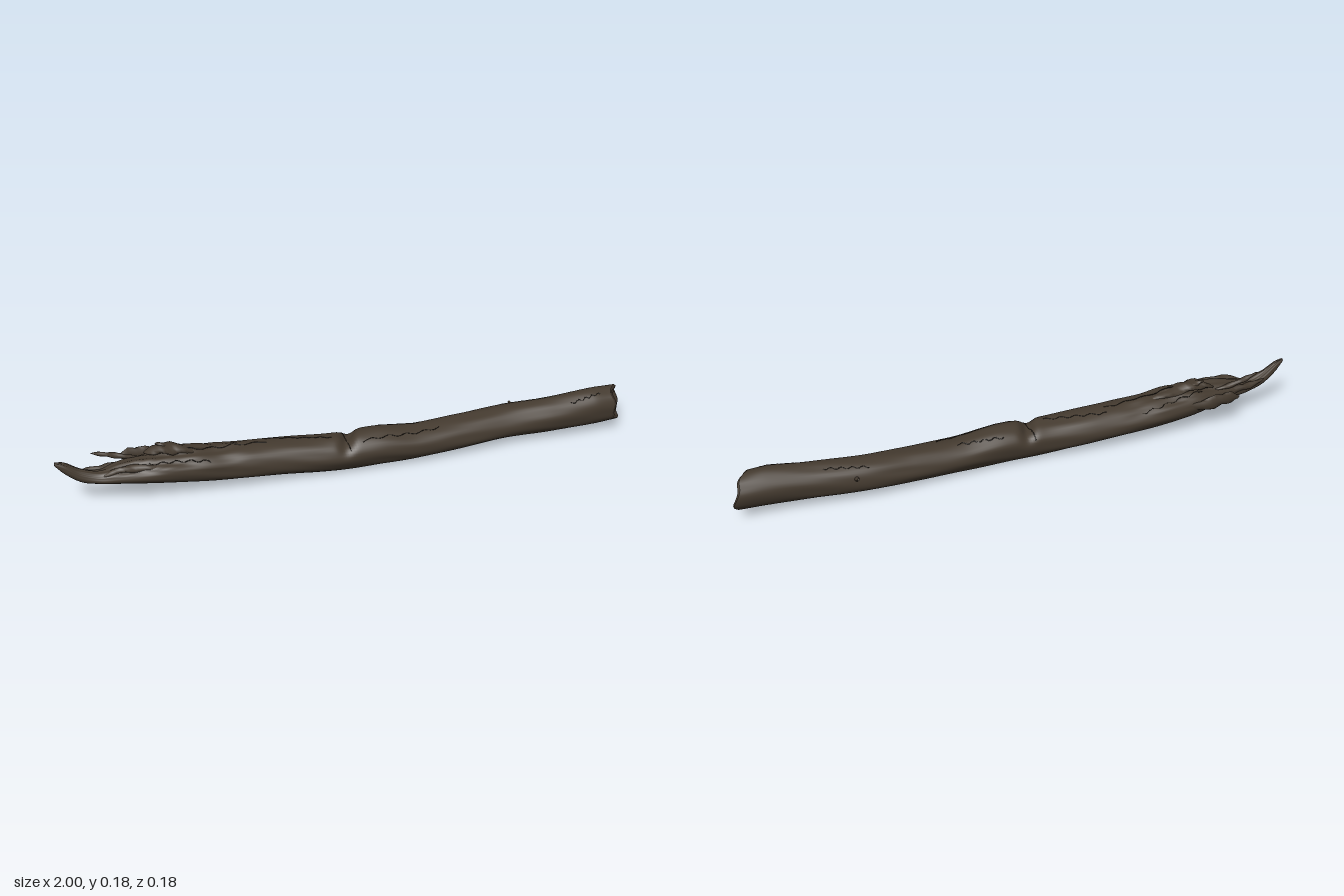
import * as THREE from 'three';

// stations along the log: x, bottom, top, back, front
const STATIONS = [
  [-1.0, 0.178, 0.19, -0.006, 0.006],
  [-0.97, 0.142, 0.182, -0.014, 0.013],
  [-0.92, 0.104, 0.15, -0.02, 0.021],
  [-0.86, 0.09, 0.132, -0.03, 0.03],
  [-0.8, 0.084, 0.145, -0.045, 0.046],
  [-0.7, 0.071, 0.155, -0.066, 0.06],
  [-0.6, 0.056, 0.162, -0.083, 0.066],
  [-0.45, 0.038, 0.152, -0.082, 0.066],
  [-0.25, 0.023, 0.143, -0.074, 0.07],
  [-0.08, 0.011, 0.136, -0.059, 0.078],
  [0.08, 0.011, 0.142, -0.055, 0.083],
  [0.22, 0.014, 0.126, -0.056, 0.083],
  [0.4, 0.019, 0.131, -0.061, 0.073],
  [0.55, 0.026, 0.139, -0.064, 0.064],
  [0.72, 0.031, 0.151, -0.05, 0.07],
  [0.88, 0.037, 0.168, -0.041, 0.075],
  [0.965, 0.042, 0.166, -0.04, 0.073],
];

// smooth interpolation of the stations
function station(x) {
  let i = 0;
  while (i < STATIONS.length - 2 && x > STATIONS[i + 1][0]) i++;
  const p = STATIONS[i], q = STATIONS[i + 1];
  const o = STATIONS[Math.max(i - 1, 0)], r = STATIONS[Math.min(i + 2, STATIONS.length - 1)];
  const t = (x - p[0]) / (q[0] - p[0]), h = q[0] - p[0];
  return [1, 2, 3, 4].map((k) => {
    const m0 = h * (q[k] - o[k]) / (q[0] - o[0]), m1 = h * (r[k] - p[k]) / (r[0] - p[0]);
    const t2 = t * t, t3 = t2 * t;
    return (2 * t3 - 3 * t2 + 1) * p[k] + (t3 - 2 * t2 + t) * m0 + (3 * t2 - 2 * t3) * q[k] + (t3 - t2) * m1;
  });
}

const bump = (x, c, w) => Math.exp(-(((x - c) / w) ** 2));

// point on the bark; s shrinks the ring toward its centre
function surface(x, a, s = 1) {
  const [y0, y1, z0, z1] = station(x);
  const up = Math.max(0, Math.sin(a));
  const torn = THREE.MathUtils.smoothstep(-x, 0.3, 0.6) * up;
  let r = 1 + 0.018 * Math.sin(3 * a + 5 * x) + 0.016 * Math.sin(5 * a - 9 * x + 1)
    + 0.012 * Math.sin(9 * a + 17 * x) * Math.sin(11 * x);
  r += torn * (0.07 * Math.sin(11 * a + 4 * Math.sin(9 * x)) + 0.06 * Math.sin(38 * x + 3 * a));
  r -= 0.42 * bump(x + 0.02 * Math.cos(a), -0.022, 0.022) * up ** 1.5;
  r *= s;
  const z = (z0 + z1) / 2 + r * Math.cos(a) * (z1 - z0) / 2;
  const y = (y0 + y1) / 2 + r * Math.sin(a) * (y1 - y0) / 2;
  // oblique cut at the thick end
  const k = THREE.MathUtils.smoothstep(x, 0.8, 0.965);
  const px = x + k * (-(z - 0.016) * 0.5 - (y - 0.104) * 0.22 + 0.006 * Math.sin(4 * a) * s);
  return new THREE.Vector3(px, y, z);
}

// closed-round grid of points from a rule fn(u, angle)
function skin(rows, cols, fn) {
  const pos = [], index = [];
  for (let i = 0; i <= rows; i++) {
    for (let j = 0; j < cols; j++) pos.push(...fn(i / rows, (j / cols) * Math.PI * 2).toArray());
  }
  for (let i = 0; i < rows; i++) {
    for (let j = 0; j < cols; j++) {
      const a = i * cols + j, b = i * cols + (j + 1) % cols;
      index.push(a, a + cols, b, a + cols, b + cols, b);
    }
  }
  const g = new THREE.BufferGeometry();
  g.setAttribute('position', new THREE.Float32BufferAttribute(pos, 3));
  g.setIndex(index);
  g.computeVertexNormals();
  return g;
}

// torn sliver running from its tip toward +x, flattened
function sliver(points, width, height) {
  const curve = new THREE.CatmullRomCurve3(points.map((p) => new THREE.Vector3(...p)));
  return skin(16, 8, (u, a) => {
    const r = Math.sin(Math.PI * u) ** 0.6 * (1 + 0.2 * Math.sin(19 * u + 2 * a));
    const p = curve.getPoint(u);
    p.z += Math.cos(a) * r * width;
    p.y += Math.sin(a) * r * height;
    return p;
  });
}

export function createModel() {
  const bark = new THREE.MeshStandardMaterial({ color: 0x453b30 });
  const heart = new THREE.MeshStandardMaterial({ color: 0x483d32 });
  const crevice = new THREE.MeshStandardMaterial({ color: 0x211c16 });
  bark.name = 'bark';
  heart.name = 'heartwood';
  crevice.name = 'crevice';
  const model = new THREE.Group();
  model.name = 'fallenLog';
  const add = (name, geometry, material) => {
    const mesh = new THREE.Mesh(geometry, material);
    mesh.name = name;
    model.add(mesh);
    return mesh;
  };

  // trunk
  add('trunk', skin(260, 48, (u, a) => surface(-1 + 1.965 * u, a)), bark);
  add('tipCap', skin(1, 48, (u, a) => surface(-1, a, u)), bark);

  // lumpy cut end with a rolled rim
  add('cutEnd', skin(10, 48, (u, a) => {
    const p = surface(0.965, a, 1 - u);
    p.x += 0.008 * Math.sin(Math.min(1, u * 4) * Math.PI) - 0.012 * u
      + 0.005 * Math.sin(3 * a + 7 * u) * Math.sin(Math.PI * u);
    return p;
  }), heart);

  // splinters at the broken end
  const slivers = [
    [[[-0.88, 0.181, -0.04], [-0.83, 0.166, -0.043], [-0.77, 0.15, -0.04], [-0.7, 0.135, -0.03]], 0.01, 0.009],
    [[[-0.79, 0.125, -0.082], [-0.74, 0.13, -0.084], [-0.67, 0.12, -0.08], [-0.56, 0.11, -0.07]], 0.01, 0.025],
    [[[-0.71, 0.155, -0.035], [-0.65, 0.17, -0.02], [-0.58, 0.161, -0.015], [-0.44, 0.14, -0.02]], 0.032, 0.014],
    [[[-0.86, 0.12, 0.02], [-0.79, 0.14, 0.025], [-0.7, 0.138, 0.035], [-0.6, 0.13, 0.04]], 0.014, 0.012],
    [[[-0.92, 0.135, -0.022], [-0.86, 0.125, -0.028], [-0.79, 0.125, -0.035], [-0.7, 0.12, -0.045]], 0.012, 0.012],
    [[[-0.67, 0.187, -0.03], [-0.645, 0.18, -0.028], [-0.61, 0.167, -0.025], [-0.57, 0.15, -0.02]], 0.013, 0.007],
  ];
  slivers.forEach(([pts, w, h], i) => add('splinter' + (i + 1), sliver(pts, w, h), bark));

  // small twig stub on the back
  const stub = add('twigStub', new THREE.CylinderGeometry(0.004, 0.011, 0.035, 8), bark);
  stub.position.set(0.6, 0.105, -0.06);
  stub.rotation.x = -1.1;

  // cracks that follow the bark: start x, end x, start angle, end angle
  const cracks = [
    [-0.025, -0.03, 0.45, 2.7], [-0.66, -0.42, 2.1, 2.5], [-0.7, -0.5, 1.0, 0.7],
    [-0.62, -0.3, 1.4, 1.6], [-0.3, -0.08, 2.0, 1.5], [0.02, 0.3, 0.9, 1.2],
    [0.08, 0.24, 2.3, 1.9], [0.55, 0.7, 2.2, 2.0], [0.78, 0.92, 0.9, 1.1],
  ];
  cracks.forEach(([x0, x1, a0, a1], i) => {
    const pts = [];
    for (let k = 0; k <= 16; k++) {
      const t = k / 16;
      pts.push(surface(x0 + (x1 - x0) * t, a0 + (a1 - a0) * t + 0.07 * Math.sin(k * 1.7 + i)));
    }
    add('crack' + (i + 1), new THREE.TubeGeometry(new THREE.CatmullRomCurve3(pts), 48, 0.0015, 5), crevice);
  });

  // stand on the ground, centred
  const box = new THREE.Box3().setFromObject(model);
  const c = box.getCenter(new THREE.Vector3());
  model.children.forEach((m) => m.position.sub(new THREE.Vector3(c.x, box.min.y, c.z)));
  return model;
}
